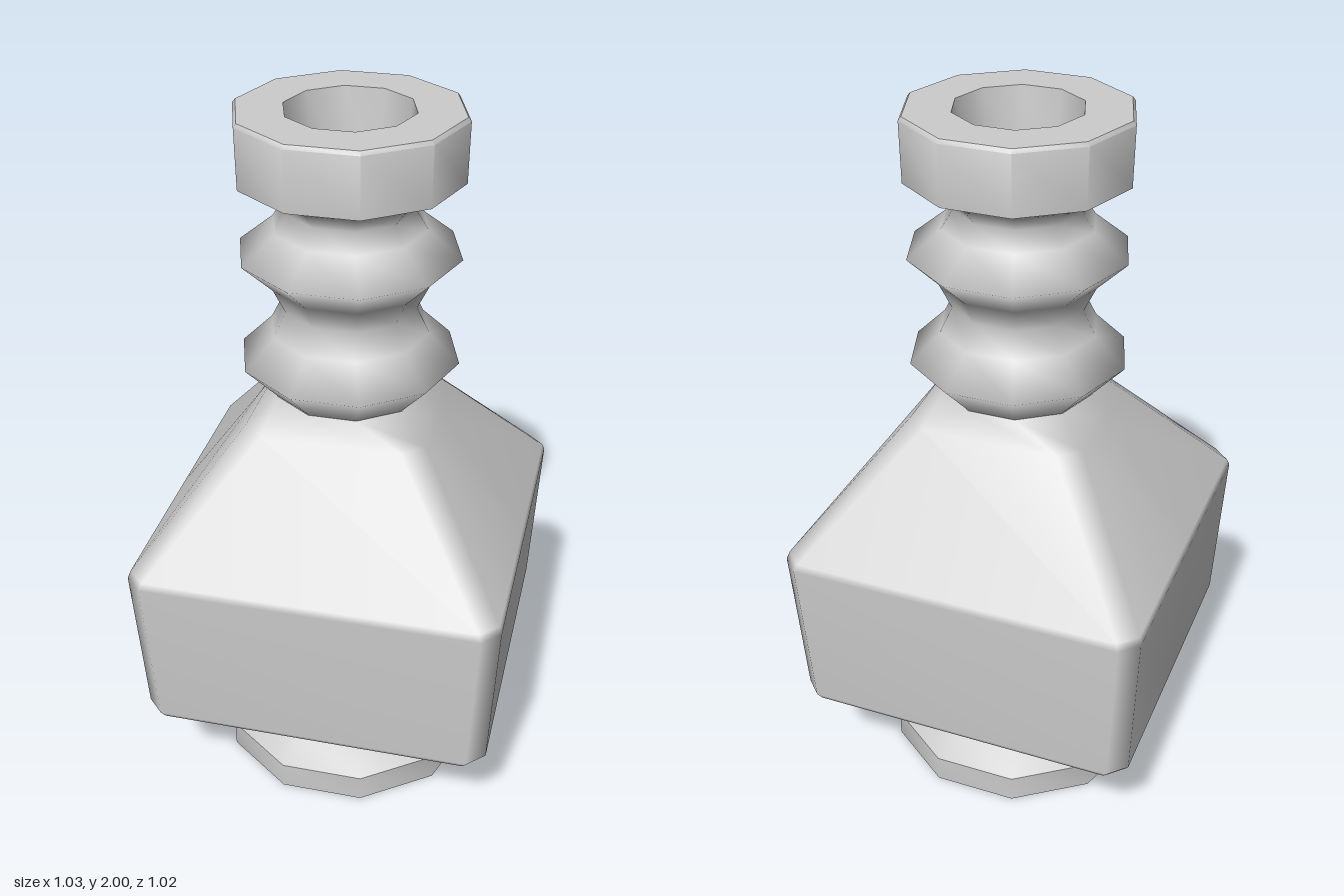
import * as THREE from 'three';
import { toCreasedNormals } from 'three/addons/utils/BufferGeometryUtils.js';

const SIDES = 10;
const material = new THREE.MeshStandardMaterial({ color: 0xcccccc });

function addMesh(group, name, geometry) {
  const mesh = new THREE.Mesh(geometry, material);
  mesh.name = name;
  group.add(mesh);
}

// Ten-sided turned part, with a corner on the x axis
function turned(profile) {
  const points = profile.map(([r, y]) => new THREE.Vector2(r, y));
  return new THREE.LatheGeometry(points, SIDES, Math.PI / 2);
}

// Cross-sections of ten points, mirrored from one quadrant: middle of side, and two corner points
function ring(y, side, [x1, z1], [x2, z2]) {
  return [
    [side, z => 0], [x1, () => z1], [x2, () => z2], [-x2, () => z2], [-x1, () => z1],
    [-side, () => 0], [-x1, () => -z1], [-x2, () => -z2], [x2, () => -z2], [x1, () => -z1],
  ].map(([x, z]) => [x, y, z()]);
}

function roundRing(y, r) {
  const at = a => [r * Math.cos(a), r * Math.sin(a)];
  return ring(y, r, at(Math.PI / 5), at(2 * Math.PI / 5));
}

function squareRing(y, hx, hz, cut = 0.048) {
  return ring(y, hx, [hx, hz - cut], [hx - cut, hz]);
}

function loft(rings) {
  const index = [];
  for (let j = 0; j < rings.length - 1; j++) {
    for (let i = 0; i < SIDES; i++) {
      const n = (i + 1) % SIDES;
      const a = j * SIDES + i, b = j * SIDES + n;
      const c = b + SIDES, d = a + SIDES;
      index.push(a, d, c, a, c, b);
    }
  }
  const geometry = new THREE.BufferGeometry();
  geometry.setAttribute('position', new THREE.Float32BufferAttribute(rings.flat(2), 3));
  geometry.setIndex(index);
  geometry.computeVertexNormals();
  return geometry;
}

export function createModel() {
  const group = new THREE.Group();
  group.name = 'bottle';

  // Foot disc with a sloped upper edge
  addMesh(group, 'foot', toCreasedNormals(turned([
    [0, 0], [0.385, 0], [0.385, 0.08], [0.285, 0.137],
  ]), 0.7));

  // Square body blending into the round foot and neck; close rings soften its edges
  addMesh(group, 'body', loft([
    roundRing(0.135, 0.293),
    squareRing(0.313, 0.482, 0.475),
    squareRing(0.332, 0.493, 0.486),
    squareRing(0.79, 0.515, 0.508),
    squareRing(0.81, 0.508, 0.5),
    ring(1.15, 0.262, [0.25, 0.175], [0.195, 0.226]),
    roundRing(1.222, 0.213),
  ]));

  // Neck with two ridges
  addMesh(group, 'neck', turned([
    [0.21, 1.22], [0.302, 1.317], [0.218, 1.4], [0.183, 1.47], [0.217, 1.54],
    [0.3, 1.62], [0.208, 1.695], [0.175, 1.745], [0.212, 1.79], [0.3, 1.83],
  ]));

  // Lip with the tapering mouth and its floor
  addMesh(group, 'lip', toCreasedNormals(turned([
    [0.302, 1.829], [0.305, 1.99], [0.297, 2], [0.172, 2], [0.143, 1.77], [0, 1.77],
  ]), 0.7));

  return group;
}
